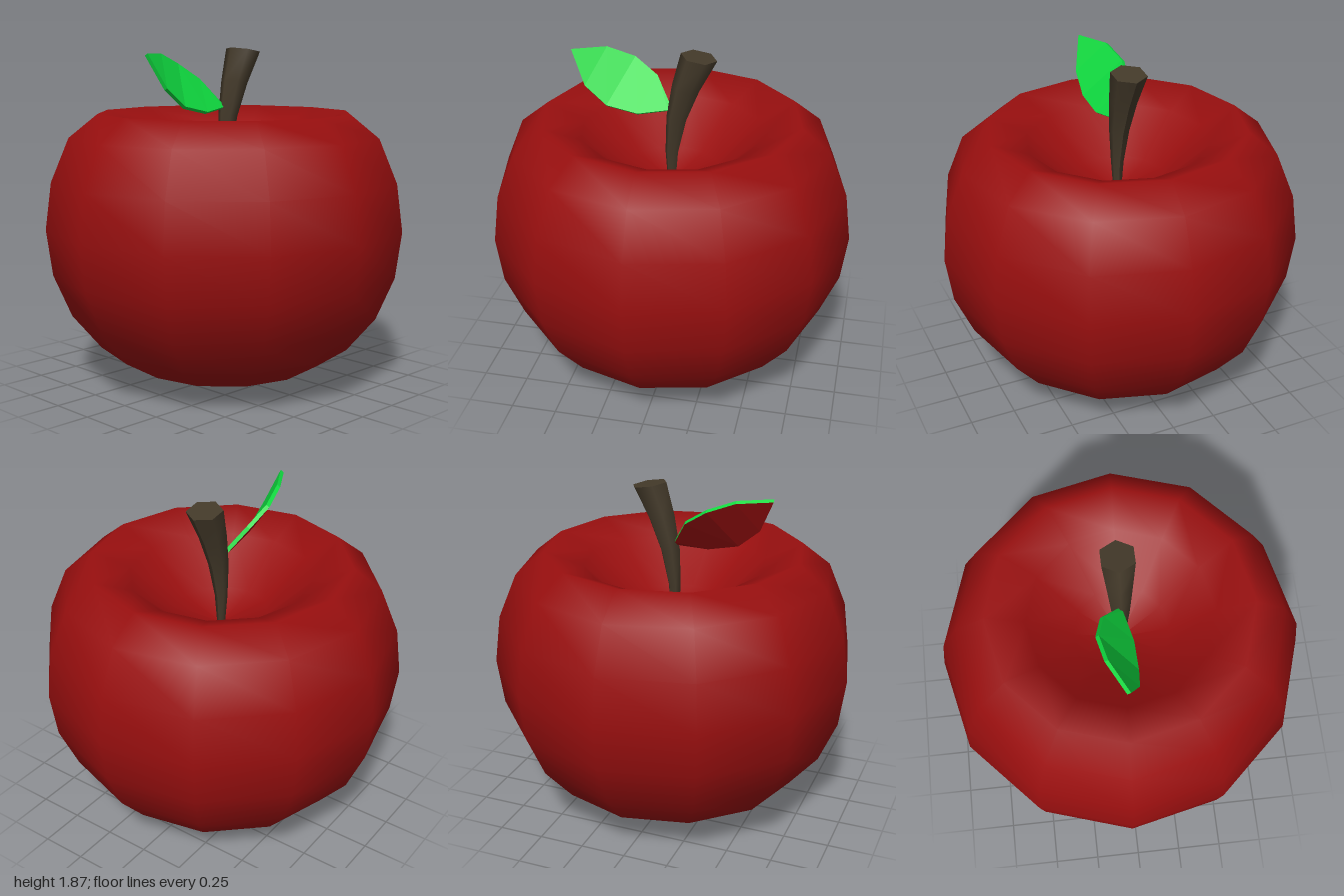
import * as THREE from 'three';

const paint = (color, extra = {}) => Object.assign(new THREE.MeshStandardMaterial({ color }), extra);

function addMesh(parent, name, geometry, material) {
  const mesh = new THREE.Mesh(geometry, material);
  mesh.name = name;
  parent.add(mesh);
  return mesh;
}

// Geometry from a list of quads, each four Vector3 corners (counter-clockwise)
function quadGeometry(quads) {
  const points = quads.flatMap(([a, b, c, d]) => [a, b, c, a, c, d]);
  const geometry = new THREE.BufferGeometry().setFromPoints(points);
  geometry.computeVertexNormals();
  return geometry;
}

// Twelve-sided fruit with a hollow at the top
function createFruit() {
  const profile = [
    [0, 0], [0.26, 0.025], [0.5, 0.09], [0.707, 0.21], [0.866, 0.4], [0.966, 0.635],
    [1, 0.89], [0.966, 1.15], [0.866, 1.39], [0.707, 1.517],
    [0.5, 1.43], [0.26, 1.21], [0, 1.13],
  ].map(([r, y]) => new THREE.Vector2(r, y));
  const geometry = new THREE.LatheGeometry(profile, 12);
  geometry.rotateY(-0.04);
  return geometry;
}

// Six-sided stem that widens and leans as it rises
function createStem() {
  const rings = [ // x, y, radius, tilt
    [0, 1.1, 0.02, 0], [0, 1.3, 0.035, 0.05], [0.025, 1.5, 0.055, 0.15],
    [0.075, 1.68, 0.075, 0.2], [0.145, 1.857, 0.098, 0.16],
  ];
  const last = rings.length - 1;
  const geometry = new THREE.CylinderGeometry(1, 1, 1, 6, last, false, Math.PI / 2);
  const pos = geometry.attributes.position;
  for (let i = 0; i < pos.count; i++) {
    const [x, y, r, tilt] = rings[Math.round((pos.getY(i) + 0.5) * last)];
    const across = pos.getX(i) * r;
    pos.setXYZ(i, x + across * Math.cos(tilt), y - across * Math.sin(tilt), pos.getZ(i) * r);
  }
  geometry.computeVertexNormals();
  return geometry;
}

// Thin leaf: upper face, underside and a rim around the outline
function createLeaf(green, red) {
  const leaf = new THREE.Group();
  leaf.name = 'leaf';
  const tip = [-0.555, 1.838, -0.02];
  const upper = [[-0.01, 1.56, -0.02], [-0.1, 1.695, -0.105], [-0.23, 1.78, -0.14], [-0.38, 1.835, -0.11], tip];
  const lower = [[-0.02, 1.54, 0], [-0.18, 1.522, 0.04], [-0.35, 1.558, 0.045], [-0.47, 1.658, 0.035], tip];
  const offset = new THREE.Vector3(0.1, 0.55, 0.83).multiplyScalar(0.011);
  const shifted = (list, s) => list.map((p) => new THREE.Vector3(...p).addScaledVector(offset, s));

  const [u, l, ub, lb] = [shifted(upper, 1), shifted(lower, 1), shifted(upper, -1), shifted(lower, -1)];
  const face = [], under = [], rim = [];
  for (let i = 0; i < 4; i++) {
    face.push([u[i + 1], l[i + 1], l[i], u[i]]);
    under.push([ub[i], lb[i], lb[i + 1], ub[i + 1]]);
  }
  const front = [...u, ...l.slice(0, 4).reverse()];
  const back = [...ub, ...lb.slice(0, 4).reverse()];
  front.forEach((a, i) => {
    const j = (i + 1) % front.length;
    rim.push([a, back[i], back[j], front[j]]);
  });
  addMesh(leaf, 'leafFace', quadGeometry(face), green);
  addMesh(leaf, 'leafUnderside', quadGeometry(under), red);
  addMesh(leaf, 'leafRim', quadGeometry(rim), green);
  return leaf;
}

export function createModel() {
  const model = new THREE.Group();
  model.name = 'apple';
  const red = paint(0x990f0f);
  addMesh(model, 'fruit', createFruit(), red);
  addMesh(model, 'stem', createStem(), paint(0x443a2a));
  model.add(createLeaf(paint(0x0fd93f), red));
  return model;
}
